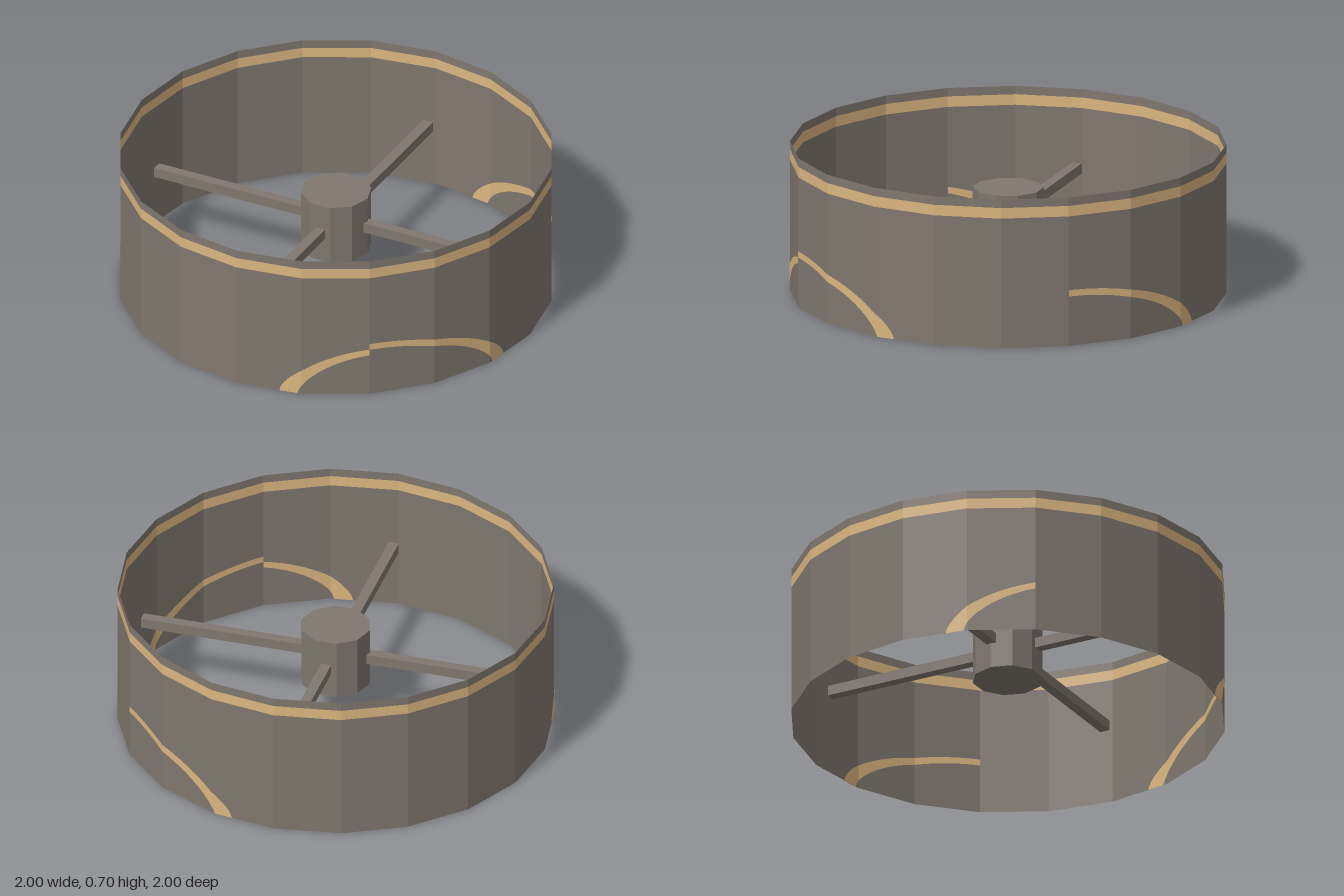
import * as THREE from 'three';

const SIDES = 20;
const HEIGHT = 0.705;
const DEG = Math.PI / 180;

// Distance from the axis to the faceted wall at an angle in degrees from +z.
function wallRadius(deg) {
  const step = 360 / SIDES;
  const local = ((deg % step) + step) % step - step / 2;
  return Math.cos(step / 2 * DEG) / Math.cos(local * DEG);
}

// Height of a rounded arch at an angle.
function arch(deg, centre, halfWidth, height) {
  const t = Math.abs(deg - centre) / halfWidth;
  return t >= 1 ? 0 : height * Math.pow(1 - t * t, 0.65);
}

// Curved painted band that follows the facets, between two arches.
function bandGeometry(from, to, outer, inner, turn, scale) {
  const positions = [], index = [];
  const steps = Math.round((to - from) * 2);
  for (let i = 0; i <= steps; i++) {
    const deg = from + i / 2;
    const r = wallRadius(deg + turn) * scale;
    const x = Math.sin((deg + turn) * DEG) * r;
    const z = Math.cos((deg + turn) * DEG) * r;
    positions.push(x, arch(deg, ...inner), z, x, arch(deg, ...outer), z);
    if (i < steps) {
      const a = i * 2;
      index.push(a, a + 2, a + 1, a + 1, a + 2, a + 3);
    }
  }
  const geometry = new THREE.BufferGeometry();
  geometry.setAttribute('position', new THREE.Float32BufferAttribute(positions, 3));
  geometry.setIndex(index);
  geometry.computeVertexNormals();
  return geometry;
}

export function createModel() {
  const model = new THREE.Group();
  const grey = new THREE.MeshStandardMaterial({ color: 0x80776f, flatShading: true, side: THREE.DoubleSide });
  grey.name = 'warm grey';
  const gold = new THREE.MeshStandardMaterial({ color: 0xdbb680, flatShading: true, side: THREE.DoubleSide });
  gold.name = 'pale gold';

  function add(name, geometry, material, y = 0) {
    const mesh = new THREE.Mesh(geometry, material);
    mesh.name = name;
    mesh.position.y = y;
    model.add(mesh);
    return mesh;
  }

  // Open faceted ring, split where the stripe runs
  function ring(name, bottom, top, material) {
    add(name, new THREE.CylinderGeometry(1, 1, top - bottom, SIDES, 1, true), material, (top + bottom) / 2);
  }
  ring('wall', 0, 0.615, grey);
  ring('rimStripe', 0.615, 0.665, gold);
  ring('rim', 0.665, HEIGHT, grey);

  // Painted arcs, shown on the outside and the inside of the wall
  const rising = [12, 36, [45, 33, 0.248], [45, 28, 0.221]];
  const falling = [36, 78, [36, 42, 0.265], [36, 37, 0.235]];
  const arcs = [
    ['frontRisingArc', rising, 0],
    ['frontFallingArc', falling, 0],
    ['sideRisingArc', rising, -90],
    ['backFallingArc', falling, 90],
  ];
  for (const [name, shape, turn] of arcs) {
    add(name + 'Outside', bandGeometry(...shape, turn, 1.002), gold);
    add(name + 'Inside', bandGeometry(...shape, turn, 0.998), gold);
  }

  // Central hub with ten sides and a corner on the x axis
  add('hub', new THREE.CylinderGeometry(0.163, 0.163, 0.29, 10, 1, false, Math.PI / 2), grey, 0.35);

  // Four spokes reaching out from the hub
  for (let i = 0; i < 4; i++) {
    const geometry = new THREE.BoxGeometry(0.825, 0.048, 0.048);
    geometry.translate(0.5125, 0, 0);
    add('spoke' + (i + 1), geometry, grey, 0.35).rotation.y = i * Math.PI / 2;
  }

  return model;
}
